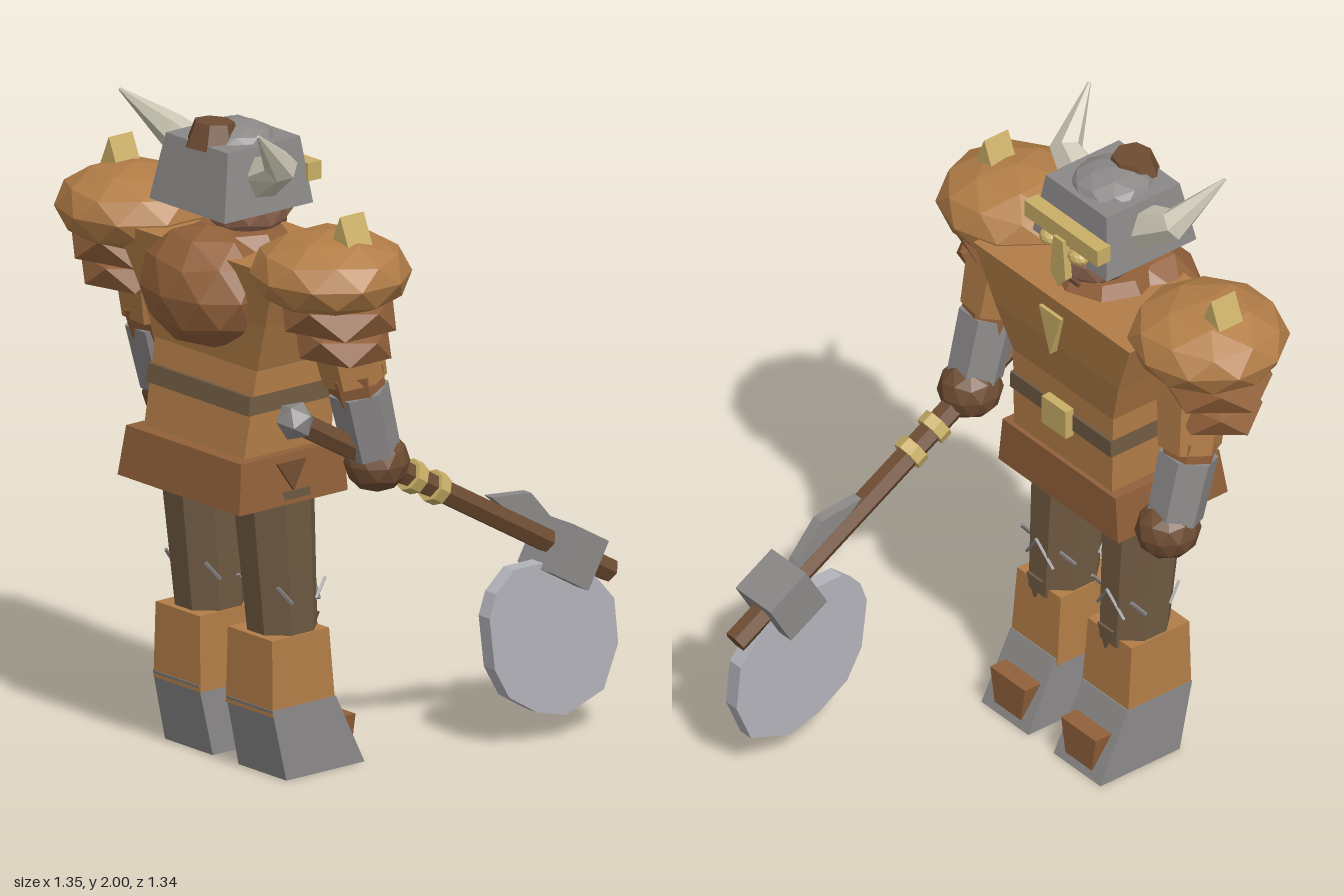
import * as THREE from 'three';

const V = (x, y, z) => new THREE.Vector3(x, y, z);
const paint = (name, color) => {
  const m = new THREE.MeshStandardMaterial({ color, flatShading: true, side: THREE.DoubleSide });
  m.name = name;
  return m;
};

// Skin closed rings of points, counter-clockwise about the direction of travel
function loft(rings) {
  const n = rings[0].length, p = [];
  const tri = (...c) => c.forEach((v) => p.push(v.x, v.y, v.z));
  for (let k = 0; k + 1 < rings.length; k++) {
    for (let i = 0; i < n; i++) {
      const j = (i + 1) % n, a = rings[k], b = rings[k + 1];
      tri(a[i], a[j], b[j]);
      tri(a[i], b[j], b[i]);
    }
  }
  const first = rings[0], last = rings[rings.length - 1];
  for (let i = 1; i + 1 < n; i++) {
    tri(first[0], first[i + 1], first[i]);
    tri(last[0], last[i], last[i + 1]);
  }
  const g = new THREE.BufferGeometry();
  g.setAttribute('position', new THREE.Float32BufferAttribute(p, 3));
  g.computeVertexNormals();
  return g;
}

// Stack of rectangles: [y, back x, front x, half width], centred on z = cz
const stack = (rows, cz = 0) => loft(rows.map(([y, x0, x1, w]) =>
  [V(x0, y, cz + w), V(x1, y, cz + w), V(x1, y, cz - w), V(x0, y, cz - w)]));

// Faceted ball with a corner pointing up
function ball(c, rx, ry = rx, rz = rx, detail = 1) {
  return new THREE.IcosahedronGeometry(1, detail).rotateX(-Math.atan(1.618))
    .scale(rx, ry, rz).translate(c.x, c.y, c.z);
}

// Tapered prism between two points
function rod(a, b, ra, rb, sides = 6) {
  const d = b.clone().sub(a), mid = a.clone().add(b).multiplyScalar(0.5);
  const q = new THREE.Quaternion().setFromUnitVectors(V(0, 1, 0), d.clone().normalize());
  return new THREE.CylinderGeometry(rb, ra, d.length(), sides)
    .applyQuaternion(q).translate(mid.x, mid.y, mid.z);
}

// Plate cut in the x-y plane, centred on z
function plate(points, thick, z) {
  const s = new THREE.Shape(points.map(([x, y]) => new THREE.Vector2(x, y)));
  return new THREE.ExtrudeGeometry(s, { depth: thick, bevelEnabled: false }).translate(0, 0, z - thick / 2);
}

// Plate cut in the z-y plane, centred on x
const frontPlate = (points, thick, x) => plate(points, thick, 0).rotateY(Math.PI / 2).translate(x, 0, 0);

const box = (w, h, d, x, y, z) => new THREE.BoxGeometry(w, h, d).translate(x, y, z);

// Horn of three rings, bent in one plane
function horn(path, radii) {
  const a = path[1].clone().sub(path[0]).normalize();
  const b = path[2].clone().sub(path[1]).normalize();
  const dirs = [a, a.clone().add(b).normalize(), b];
  const n = a.clone().cross(b).normalize();
  return loft(path.map((p, k) => Array.from({ length: 6 }, (_, i) => {
    const t = (i / 6) * Math.PI * 2, v = dirs[k].clone().cross(n);
    return p.clone().addScaledVector(n, Math.cos(t) * radii[k]).addScaledVector(v, Math.sin(t) * radii[k]);
  })));
}

export function createModel() {
  const leather = paint('tan leather', 0xb27d47);
  const brown = paint('brown leather', 0x91603a);
  const cloth = paint('dark trousers', 0x6f5a42);
  const wood = paint('dark wood', 0x6e4c32);
  const steel = paint('steel', 0x8b8888);
  const bladeSteel = paint('blade steel', 0xb2b2ba);
  const gold = paint('gold', 0xc9ae66);
  const bone = paint('bone', 0xcac5b3);
  const skin = paint('skin', 0x9a6c58);

  const model = new THREE.Group();
  model.name = 'axeWarrior';
  const add = (name, geometry, material, parent = model) => {
    const m = new THREE.Mesh(geometry, material);
    m.name = name;
    parent.add(m);
    return m;
  };

  // Body
  add('torso', stack([[0.96, -0.555, -0.215, 0.225], [1.25, -0.505, -0.215, 0.23],
    [1.4, -0.52, -0.19, 0.285], [1.58, -0.55, -0.172, 0.36]]), leather);
  add('belt', stack([[1.12, -0.54, -0.205, 0.233], [1.175, -0.53, -0.205, 0.23]]), cloth);
  add('buckle', box(0.03, 0.095, 0.11, -0.195, 1.148, 0), gold);
  add('skirt', stack([[0.84, -0.61, -0.197, 0.275], [0.99, -0.59, -0.2, 0.26]]), brown);
  add('chestEmblem', frontPlate([[-0.05, 1.53], [0, 1.38], [0.05, 1.53]], 0.03, -0.18), gold);
  add('backPack', ball(V(-0.5, 1.46, 0), 0.18, 0.185, 0.23), brown);
  add('collar', rod(V(-0.38, 1.56, 0), V(-0.38, 1.62, 0), 0.17, 0.13, 8), brown);

  // Head and helmet
  add('face', ball(V(-0.345, 1.695, 0), 0.135, 0.12, 0.125), skin);
  add('helmet', stack([[1.7, -0.578, -0.24, 0.17], [1.9, -0.54, -0.265, 0.14]]), steel);
  add('helmetDome', ball(V(-0.4, 1.89, 0), 0.125, 0.055, 0.125), steel);
  add('hairKnot', rod(V(-0.48, 1.88, 0), V(-0.475, 1.955, 0), 0.085, 0.06, 7), wood);
  add('brow', box(0.05, 0.055, 0.335, -0.232, 1.793, 0), gold);
  add('noseGuard', frontPlate([[-0.022, 1.78], [-0.035, 1.65], [0, 1.61], [0.035, 1.65], [0.022, 1.78]],
    0.025, -0.208), gold);
  add('mouth', box(0.01, 0.012, 0.09, -0.24, 1.618, 0), wood);

  for (const s of [1, -1]) {
    const side = new THREE.Group();
    side.name = s > 0 ? 'axeSide' : 'freeSide';
    model.add(side);
    const put = (name, geometry, material) => add(name, geometry, material, side);

    put('horn', horn([V(-0.41, 1.8, 0.13 * s), V(-0.43, 1.865, 0.25 * s), V(-0.57, 1.998, 0.313 * s)],
      [0.07, 0.05, 0.005]), bone);
    put('eyeGuard', ball(V(-0.22, 1.742, 0.065 * s), 0.03, 0.024, 0.037), gold);

    // Shoulder armour
    put('pauldron', ball(V(-0.402, 1.585, 0.441 * s), 0.236, 0.128, 0.242), leather);
    put('pauldronRidge', plate([[-0.05, 1.66], [0.05, 1.66], [0, 1.775]], 0.09, 0)
      .rotateY(Math.PI / 2).translate(-0.39, 0, 0.522 * s), gold);
    put('upperLame', ball(V(-0.4, 1.465, 0.475 * s), 0.185, 0.085, 0.2, 0), brown);
    put('lowerLame', ball(V(-0.39, 1.375, 0.485 * s), 0.15, 0.075, 0.17, 0), brown);

    // Arm
    put('upperArm', rod(V(-0.37, 1.55, 0.425 * s), V(-0.32, 1.24, 0.455 * s), 0.12, 0.095), leather);
    put('elbow', rod(V(-0.33, 1.275, 0.455 * s), V(-0.305, 1.18, 0.458 * s), 0.09, 0.08), brown);
    put('bracer', rod(V(-0.312, 1.215, 0.46 * s), V(-0.26, 1.015, 0.46 * s), 0.09, 0.085), steel);
    put('hand', ball(V(-0.238, 0.978, 0.455 * s), 0.1, 0.092, 0.095), wood);

    // Skirt patch on the hip
    put('hipPatch', plate([[-0.46, 0.97], [-0.405, 0.885], [-0.35, 0.97]], 0.009, 0)
      .rotateX(-0.1 * s).translate(0, 0.001, 0.363 * s), wood);

    // Leg
    const z = 0.163 * s;
    const thigh = [[0.4, -0.35, 0.1, 0.093], [0.88, -0.388, 0.118, 0.112]].map(([y, cx, rx, rz]) =>
      Array.from({ length: 8 }, (_, i) => {
        const t = ((i + 0.5) / 8) * Math.PI * 2;
        return V(cx + rx * 1.08 * Math.cos(t), y, z - rz * 1.08 * Math.sin(t));
      }));
    put('thigh', loft(thigh), cloth);
    put('kneePoint', frontPlate([[-z - 0.035, 0.46], [-z, 0.385], [-z + 0.035, 0.46]], 0.009, -0.243), cloth);
    for (const k of [1, -1]) {
      put('kneeLace', rod(V(-0.248, 0.59, z), V(-0.262, 0.51, z + 0.06 * k), 0.006, 0.006, 4), steel);
      for (const dx of [-0.045, 0.045]) {
        put('sideLace', rod(V(-0.355 + dx, 0.53, z + 0.103 * k),
          V(-0.355 + dx * 2, 0.585, z + 0.09 * k), 0.006, 0.006, 4), steel);
      }
    }
    put('bootShaft', stack([[0.2, -0.478, -0.24, 0.106], [0.43, -0.475, -0.258, 0.1]], z), leather);
    put('boot', stack([[0, -0.43, -0.132, 0.108], [0.22, -0.48, -0.238, 0.104]], s * 0.166), steel);
    const toe = (y, w) => [V(-0.25, y, z + w), V(-0.14, y, z + w), V(-0.14, y, z - w), V(-0.25, y, z - w)];
    put('toeCap', loft([toe(0.025, 0.06), toe(0.14, 0.08)]), brown);
  }

  // Axe, laid along its own x axis and tilted down
  const axe = new THREE.Group();
  axe.name = 'axe';
  axe.position.set(-0.545, 1.16, 0.45);
  axe.rotation.z = -Math.PI / 6;
  model.add(axe);
  add('axeHandle', rod(V(0, 0, 0), V(1.38, 0, 0), 0.038, 0.038), wood, axe);
  add('pommel', ball(V(0, 0, 0), 0.06, 0.06, 0.06, 0), steel, axe);
  for (const x of [0.515, 0.615]) {
    add('grip ring', rod(V(x - 0.02, 0, 0), V(x + 0.02, 0, 0), 0.05, 0.05, 8), gold, axe);
  }
  add('axeHead', box(0.157, 0.157, 0.16, 1.184, -0.008, 0), steel, axe);

  add('axeBlade', plate([[0.27, 0.55], [0.2, 0.49], [0.175, 0.42], [0.195, 0.26], [0.25, 0.165], [0.355, 0.1],
    [0.465, 0.07], [0.61, 0.12], [0.665, 0.25], [0.65, 0.39], [0.575, 0.475], [0.48, 0.56], [0.4, 0.55]],
  0.05, 0.45), bladeSteel);
  add('axeSpike', plate([[0.19, 0.785], [0.365, 0.635], [0.46, 0.6], [0.43, 0.665], [0.34, 0.77]],
    0.036, 0.45), steel);
  return model;
}
